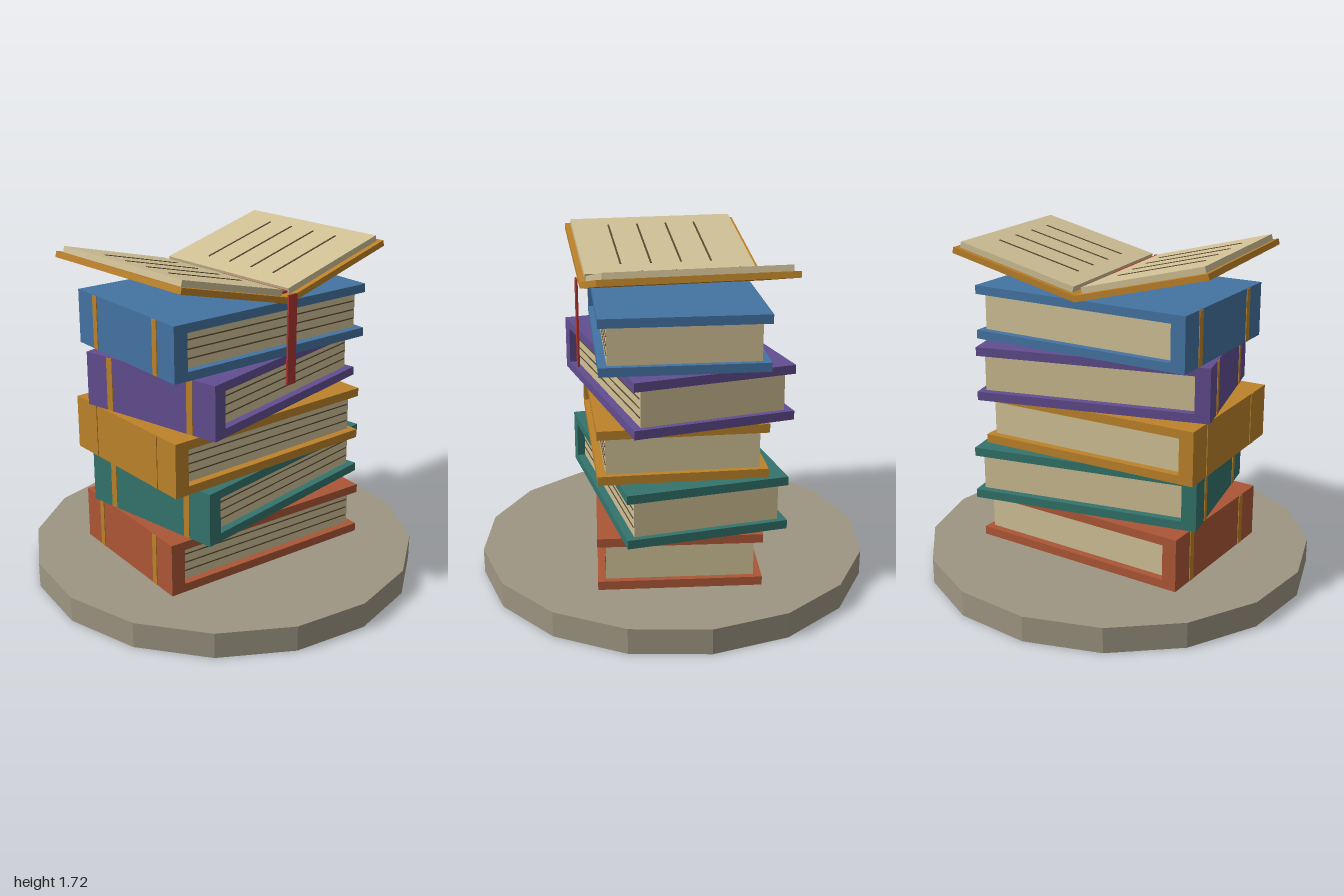
import * as THREE from 'three';

const mat = (color) => new THREE.MeshStandardMaterial({ color, flatShading: true });
const stone = mat(0x9e9683);
const paper = mat(0xd0c095);
const ink = mat(0x5b4a33);
const gold = mat(0xbc822a);
const red = mat(0xac3530);

function box(parent, name, material, size, pos) {
  const mesh = new THREE.Mesh(new THREE.BoxGeometry(...size), material);
  mesh.name = name;
  mesh.position.set(...pos);
  parent.add(mesh);
  return mesh;
}

const W = 1.18, H = 0.273, COVER = 0.044, SPINE = 0.075;

// Closed book lying flat, spine towards -x, standing on its local y = 0
function closedBook(color, depth) {
  const book = new THREE.Group();
  const cloth = mat(color);
  const mid = H / 2;
  const inner = H - 2 * COVER;

  box(book, 'bottomCover', cloth, [W, COVER, depth], [0, COVER / 2, 0]);
  box(book, 'topCover', cloth, [W, COVER, depth], [0, H - COVER / 2, 0]);
  box(book, 'spine', cloth, [SPINE, inner, depth], [-W / 2 + SPINE / 2, mid, 0]);

  // Page block, set back from the cover edges
  const x0 = -W / 2 + SPINE, x1 = W / 2 - 0.03;
  const pageDepth = depth - 0.08;
  box(book, 'pages', paper, [x1 - x0, inner, pageDepth], [(x0 + x1) / 2, mid, 0]);
  for (const i of [-1, 0, 1]) {
    box(book, 'pageLine', ink, [x1 - x0 - 0.02, 0.006, 0.006],
      [(x0 + x1) / 2, mid + i * 0.045, pageDepth / 2]);
  }

  // Gilt bands across the spine
  for (const s of [-1, 1]) {
    box(book, 'spineBand', gold, [0.008, H - 0.004, 0.035], [-W / 2, mid, s * 0.25]);
  }
  return book;
}

// One half of the open book; side is +1 or -1 along x
function openHalf(side) {
  const half = new THREE.Group();
  half.name = side > 0 ? 'openBookLeftHalf' : 'openBookRightHalf';
  box(half, 'openCover', gold, [0.692, 0.03, 0.92], [side * 0.346, 0.015, 0]);
  box(half, 'openPages', paper, [0.638, 0.03, 0.864], [side * 0.353, 0.045, 0]);
  for (let i = 0; i < 4; i++) {
    box(half, 'textLine', ink, [0.458, 0.004, 0.009],
      [side * 0.355, 0.061, -0.221 + i * 0.154]);
  }
  half.rotation.z = side * 0.25;
  return half;
}

export function createModel() {
  const model = new THREE.Group();
  model.name = 'bookStack';

  // Sixteen-sided plinth
  const base = new THREE.Mesh(new THREE.CylinderGeometry(1, 1, 0.13, 16), stone);
  base.name = 'base';
  base.position.y = 0.065;
  model.add(base);

  // Stack of closed books: colour, turn, x, z, depth
  const stack = [
    [0xac5636, -0.12, 0, 0, 0.8],
    [0x34746d, 0.1, 0.043, 0, 0.8],
    [0xbc822a, -0.06, -0.037, 0.012, 0.82],
    [0x624d90, 0.16, 0.02, 0, 0.8],
    [0x4473a3, -0.08, 0, 0, 0.8],
  ];
  stack.forEach(([color, turn, x, z, depth], i) => {
    const book = closedBook(color, depth);
    book.name = 'closedBook' + (i + 1);
    book.position.set(x, 0.13 + i * H, z);
    book.rotation.y = turn;
    model.add(book);
  });

  // Open book on top
  const open = new THREE.Group();
  open.name = 'openBook';
  open.position.y = 1.5;
  open.add(openHalf(1), openHalf(-1));
  model.add(open);

  // Ribbon bookmark: one strip in the gutter, one hanging in front
  box(model, 'ribbonInGutter', red, [0.034, 0.01, 0.455], [0, 1.55, 0.2]);
  box(model, 'ribbonHanging', red, [0.056, 0.445, 0.01], [0, 1.329, 0.477]);

  return model;
}
